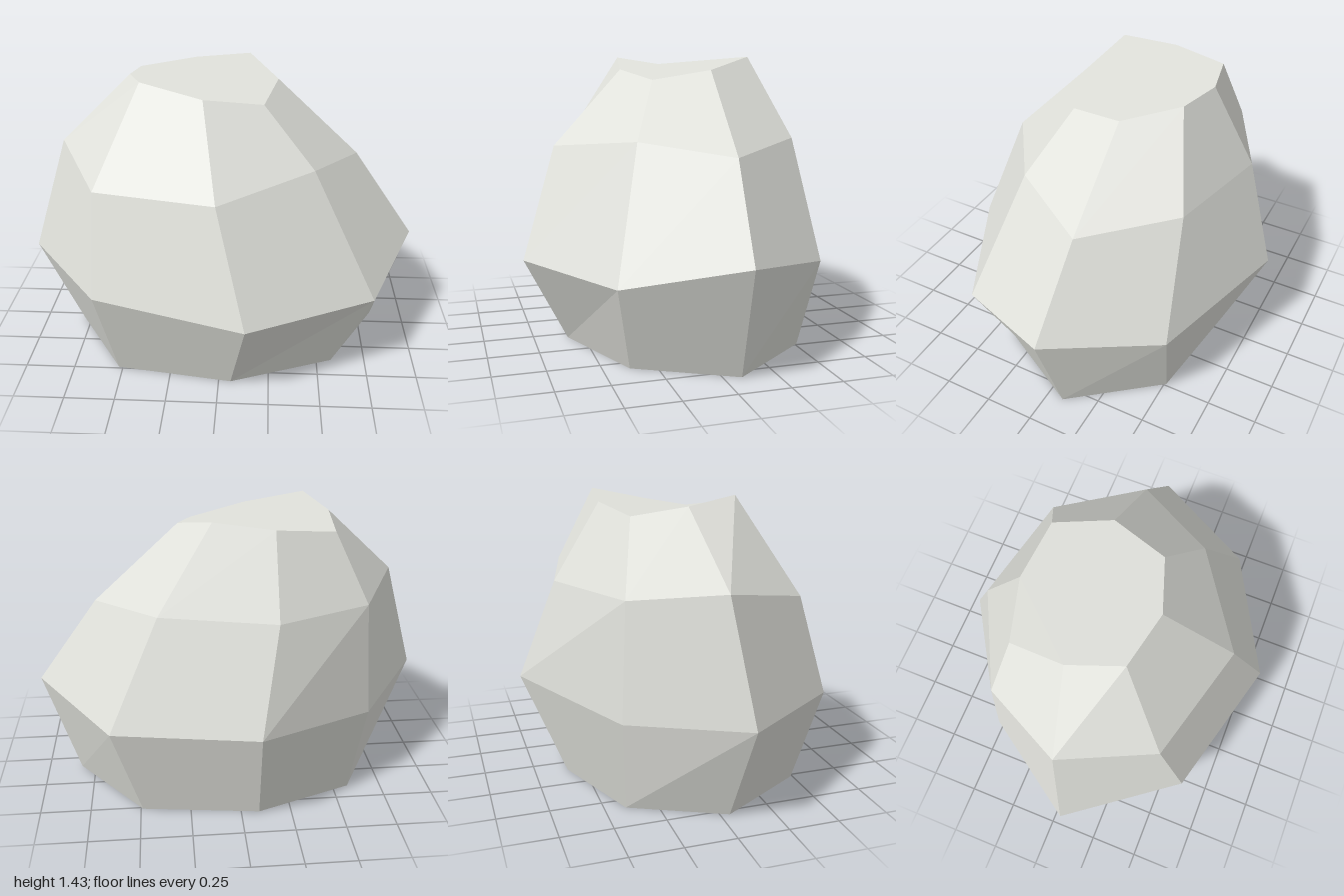
import * as THREE from 'three';
import { mergeGeometries } from 'three/addons/utils/BufferGeometryUtils.js';

// Four rings of eight corners [x, y, z], from the base to the top
const rings = [
  [[-0.79, 0, 0.045], [-0.52, 0, 0.49], [0.06, 0, 0.58], [0.575, 0, 0.375],
   [0.825, 0, -0.085], [0.49, 0, -0.51], [-0.09, 0, -0.585], [-0.578, 0, -0.4]],
  [[-1, 0.49, 0.08], [-0.607, 0.477, 0.607], [0.133, 0.44, 0.803], [0.76, 0.43, 0.47],
   [1, 0.54, -0.07], [0.63, 0.46, -0.56], [-0.073, 0.535, -0.803], [-0.655, 0.455, -0.43]],
  [[-0.83, 1.065, 0.01], [-0.603, 0.975, 0.457], [-0.01, 0.99, 0.62], [0.45, 1.04, 0.3],
   [0.69, 0.978, -0.108], [0.383, 1.035, -0.508], [-0.165, 1.03, -0.63], [-0.625, 1.02, -0.4]],
  [[-0.48, 1.4, -0.06], [-0.395, 1.435, 0.2], [-0.09, 1.37, 0.255], [0.2, 1.32, 0.16],
   [0.27, 1.368, -0.12], [0.12, 1.435, -0.37], [-0.17, 1.4, -0.405], [-0.465, 1.365, -0.33]],
];

// A flat-looking facet: a fan of triangles that share the average normal
function facet(corners) {
  const v = corners.map((p) => new THREE.Vector3(...p));
  const sum = new THREE.Vector3();
  v.forEach((p, i) => sum.add(p.clone().cross(v[(i + 1) % v.length])));
  const normal = sum.normalize().toArray();
  const positions = [];
  const normals = [];
  for (let i = 1; i < corners.length - 1; i++) {
    positions.push(...corners[0], ...corners[i], ...corners[i + 1]);
    normals.push(...normal, ...normal, ...normal);
  }
  const geometry = new THREE.BufferGeometry();
  geometry.setAttribute('position', new THREE.Float32BufferAttribute(positions, 3));
  geometry.setAttribute('normal', new THREE.Float32BufferAttribute(normals, 3));
  return geometry;
}

// Band of facets between two rings; the columns in creased are split diagonally
function band(lower, upper, creased) {
  const facets = [];
  lower.forEach((a, i) => {
    const j = (i + 1) % lower.length;
    const [b, c, d] = [lower[j], upper[j], upper[i]];
    if (creased.includes(i)) facets.push(facet([a, b, c]), facet([a, c, d]));
    else facets.push(facet([a, b, c, d]));
  });
  return mergeGeometries(facets);
}

export function createModel() {
  const group = new THREE.Group();
  group.name = 'boulder';
  const stone = new THREE.MeshStandardMaterial({ color: 0xe1e2dc });
  stone.name = 'pale stone grey';

  const add = (name, geometry) => {
    const mesh = new THREE.Mesh(geometry, stone);
    mesh.name = name;
    group.add(mesh);
  };

  // Sides
  add('lowerSides', band(rings[0], rings[1], [2, 4, 7]));
  add('middleSides', band(rings[1], rings[2], [6]));
  add('upperSides', band(rings[2], rings[3], [0]));
  // Top facet and underside
  add('topFacet', facet(rings[3]));
  add('underside', facet([...rings[0]].reverse()));
  return group;
}
